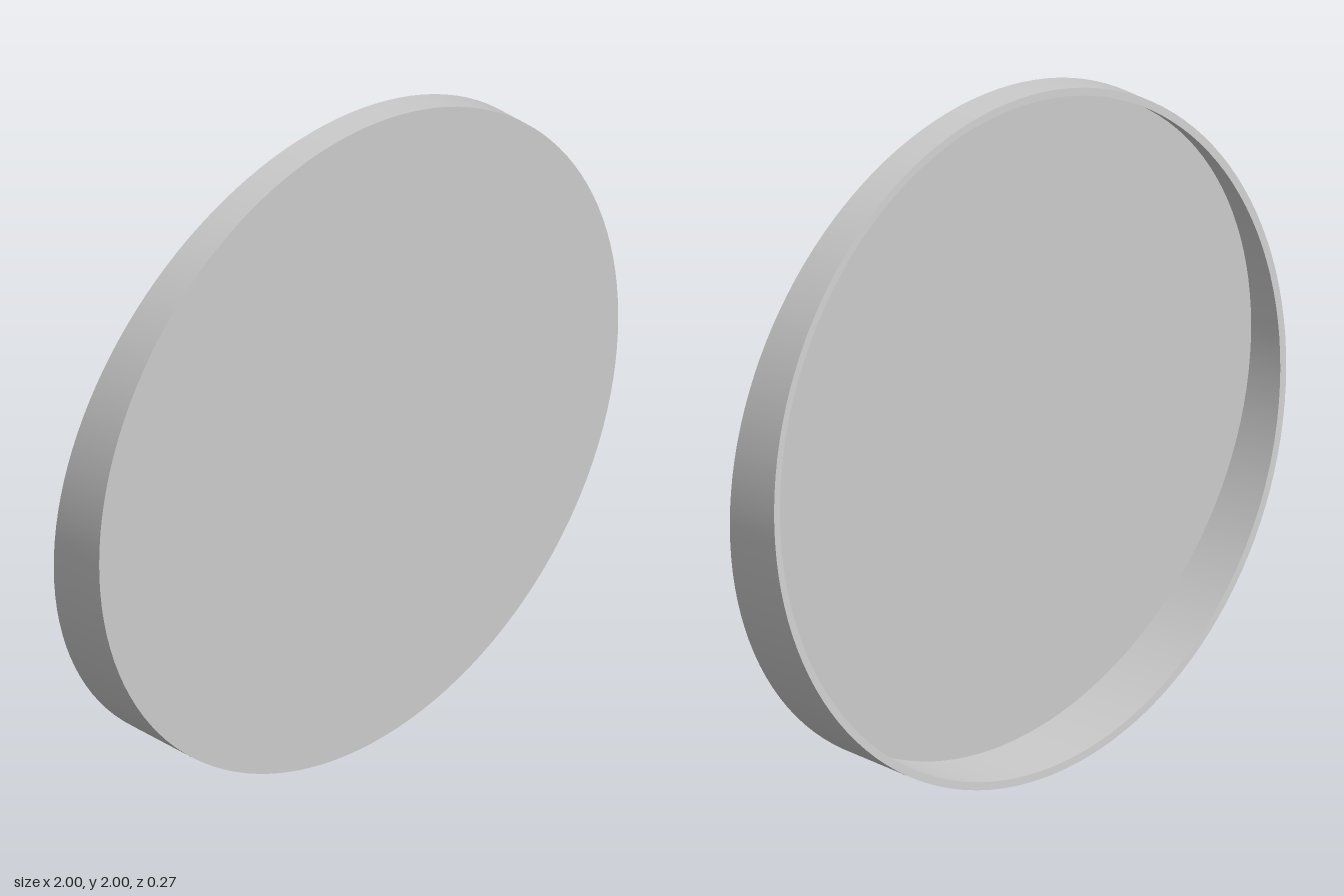
import * as THREE from 'three';
import { toCreasedNormals } from 'three/addons/utils/BufferGeometryUtils.js';

const FRONT = 0.135;   // z of the flat front face
const FLOOR = 0.068;   // thickness of the disc
const WALL = 0.023;    // thickness of the rim
const RIM = 0.18;      // rim height at mid level
const SLOPE = 0.09;    // slant of the rim's back edge

export function createModel() {
  const group = new THREE.Group();
  group.name = 'slantedCap';

  // Cup profile turned about its axis, with the open end facing back
  const profile = [
    [0, 0], [1, 0], [1, RIM], [1 - WALL, RIM], [1 - WALL, FLOOR], [0, FLOOR],
  ].map(([r, h]) => new THREE.Vector2(r, h));
  const geometry = new THREE.LatheGeometry(profile, 128);
  geometry.rotateX(-Math.PI / 2);

  // Slant the open edge: shallow at the top, deep at the bottom
  const pos = geometry.attributes.position;
  for (let i = 0; i < pos.count; i++) {
    if (pos.getZ(i) < -RIM + 0.001) pos.setZ(i, -RIM + SLOPE * pos.getY(i));
  }
  geometry.translate(0, 1, FRONT);

  const cap = new THREE.Mesh(
    toCreasedNormals(geometry, 0.6),
    new THREE.MeshStandardMaterial({ color: 0xcccccc }),
  );
  cap.name = 'discWithSlantedRim';
  group.add(cap);
  return group;
}
